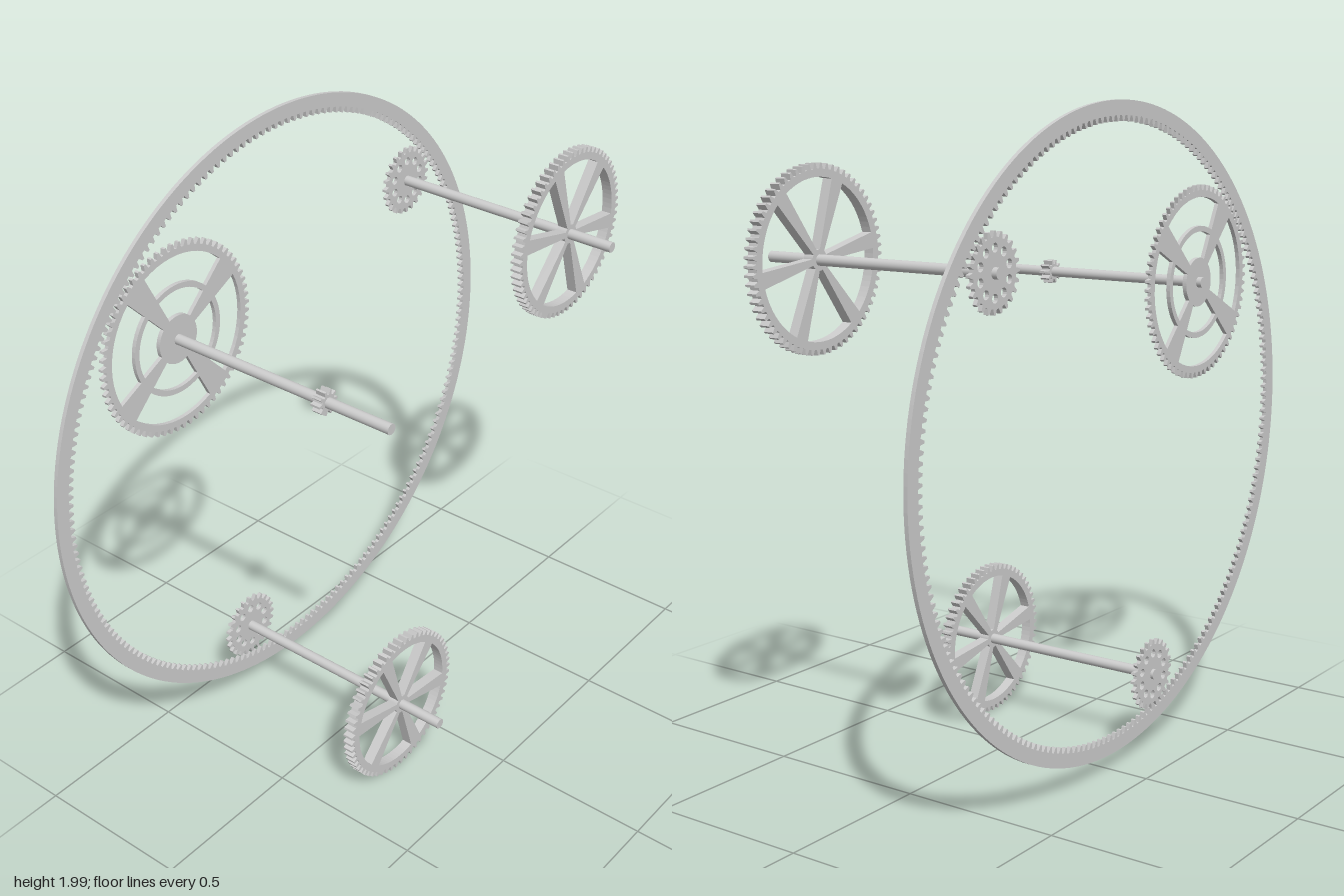
import * as THREE from 'three';

const material = new THREE.MeshStandardMaterial({ color: 0xcccccc, flatShading: true });
const smoothMaterial = new THREE.MeshStandardMaterial({ color: 0xcccccc });
const polar = (r, a) => new THREE.Vector2(r * Math.cos(a), r * Math.sin(a));

// Closed toothed outline: trapezoid teeth from the root radius to the tip radius
function toothedPoints(teeth, root, tip) {
  const pts = [];
  const pitch = (Math.PI * 2) / teeth;
  for (let i = 0; i < teeth; i++) {
    for (const [r, f] of [[root, -0.32], [tip, -0.13], [tip, 0.13], [root, 0.32]]) {
      pts.push(polar(r, (i + f) * pitch));
    }
  }
  return pts;
}

function circlePoints(r, segments, cx = 0, cy = 0) {
  return Array.from({ length: segments }, (_, i) =>
    polar(r, (i / segments) * Math.PI * 2).add(new THREE.Vector2(cx, cy)));
}

// Opening between two neighbouring tapered spokes, bounded by two arcs
function windowPoints(rIn, rOut, a0, a1, halfWidth) {
  const pts = [];
  const steps = 12;
  const arc = (r, reverse) => {
    const inset = Math.asin(halfWidth(r) / r);
    for (let i = 0; i <= steps; i++) {
      const t = reverse ? 1 - i / steps : i / steps;
      pts.push(polar(r, a0 + inset + (a1 - a0 - 2 * inset) * t));
    }
  };
  arc(rIn, false);
  arc(rOut, true);
  return pts;
}

// Windows for a spoked wheel; bands lists the [inner, outer] radii of each row
function spokeWindows(count, start, bands, halfWidth) {
  const holes = [];
  const step = (Math.PI * 2) / count;
  for (let i = 0; i < count; i++) {
    const a = start + i * step;
    for (const [rIn, rOut] of bands) holes.push(windowPoints(rIn, rOut, a, a + step, halfWidth));
  }
  return holes;
}

// Flat plate from an outline and holes, between two z positions
function plate(name, outline, holes, x, y, zBack, zFront) {
  const shape = new THREE.Shape(outline);
  shape.holes = holes.map((h) => new THREE.Path(h));
  const geometry = new THREE.ExtrudeGeometry(shape, { depth: zFront - zBack, bevelEnabled: false });
  const mesh = new THREE.Mesh(geometry, material);
  mesh.name = name;
  mesh.position.set(x, y, zBack);
  return mesh;
}

function axle(x, y) {
  const geometry = new THREE.CylinderGeometry(0.016, 0.016, 0.8, 24);
  geometry.rotateX(Math.PI / 2);
  const mesh = new THREE.Mesh(geometry, smoothMaterial);
  mesh.name = 'axle';
  mesh.position.set(x, y, 0);
  return mesh;
}

// Axle with a six-spoke wheel in front and a perforated small gear at the back
function spokedAssembly(name, x, y, tip, teeth, zSmall) {
  const group = new THREE.Group();
  group.name = name;
  const rimInner = tip - 0.038;
  const halfWidth = (r) => 0.007 + 0.016 * (r / rimInner);
  const windows = spokeWindows(6, THREE.MathUtils.degToRad(-10), [[0.03, rimInner]], halfWidth);
  const holes = Array.from({ length: 10 }, (_, i) => {
    const c = polar(0.066, ((i + 0.5) / 10) * Math.PI * 2);
    return circlePoints(0.013, 14, c.x, c.y);
  });
  group.add(
    axle(x, y),
    plate('spokedGear', toothedPoints(teeth, tip - 0.016, tip), windows, x, y, 0.219, 0.252),
    plate('smallGear', toothedPoints(24, 0.094, 0.11), holes, x, y, zSmall, zSmall + 0.013),
  );
  return group;
}

export function createModel() {
  const model = new THREE.Group();
  const zRing = -0.384;

  // Large ring with inward teeth
  model.add(plate('ringGear', circlePoints(0.968, 180), [toothedPoints(210, 0.925, 0.908)],
    0, 1.03, zRing, zRing + 0.013));

  // Four-spoke gear with a middle band and a pinion on its axle
  const main = new THREE.Group();
  main.name = 'fourSpokeAssembly';
  const [x, y] = [-0.457, 1.444];
  const windows = spokeWindows(4, THREE.MathUtils.degToRad(35),
    [[0.075, 0.155], [0.172, 0.26]], (r) => 0.004 + 0.038 * (r / 0.26));
  main.add(
    axle(x, y),
    plate('fourSpokeGear', toothedPoints(68, 0.28, 0.297), windows, x, y, zRing, zRing + 0.013),
    plate('pinion', toothedPoints(10, 0.025, 0.038), [], x, y, 0.153, 0.185),
  );
  model.add(main);

  // Two spoked assemblies engaging the ring
  model.add(spokedAssembly('upperSpokedAssembly', 0.6, 1.561, 0.267, 66, zRing));
  model.add(spokedAssembly('lowerSpokedAssembly', -0.211, 0.254, 0.247, 60, -0.391));
  return model;
}
